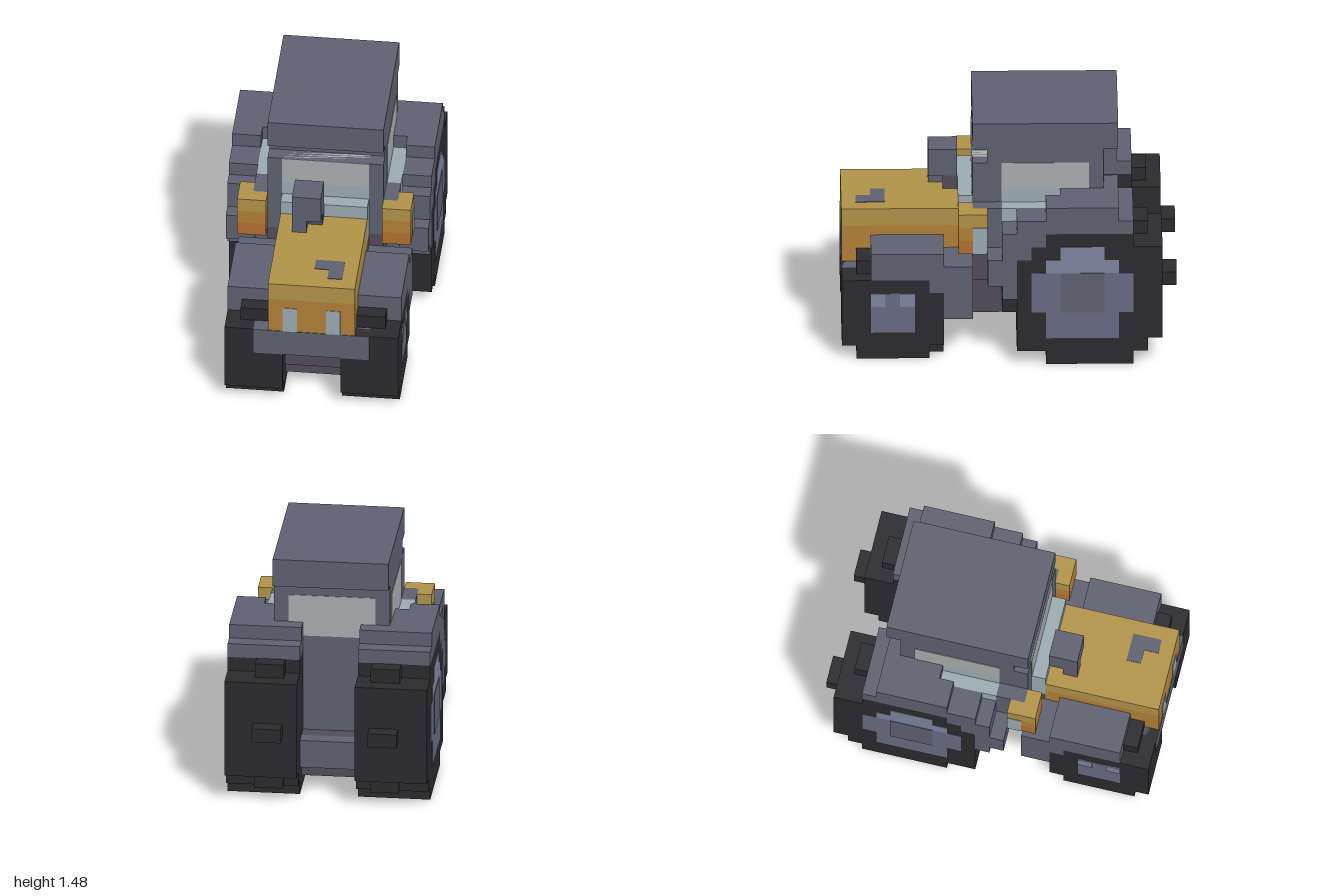
import * as THREE from 'three';

const U = 2 / 23; // edge of one block; the model is 23 blocks long
const E = 0.04;   // thickness of coloured panels, in blocks

const mats = {};
function mat(color) {
  return (mats[color] ??= new THREE.MeshStandardMaterial({ color, flatShading: true }));
}
const SLATE = 0x5e6070, DARK = 0x504d5a, TIRE = 0x2b2b2d, RIM = 0x666a80, RIM_LIGHT = 0x7c84a0;
const YELLOW = 0xb09248, ORANGE = 0xb08038, RUST = 0xb07030, GLASS = 0x9aaab2, PALE = 0xa9acac;

// Box between block coordinates: x from the middle, y from the ground, k from the front backwards
function block(parent, name, color, x0, x1, y0, y1, k0, k1) {
  const geo = new THREE.BoxGeometry((x1 - x0) * U, (y1 - y0) * U, (k1 - k0) * U);
  const mesh = new THREE.Mesh(geo, mat(color));
  mesh.name = name;
  mesh.position.set(((x0 + x1) / 2) * U, ((y0 + y1) / 2) * U, 1 - ((k0 + k1) / 2) * U);
  parent.add(mesh);
}

// The same box on both sides
function pair(parent, name, color, x0, x1, ...rest) {
  block(parent, name + 'Left', color, x0, x1, ...rest);
  block(parent, name + 'Right', color, -x1, -x0, ...rest);
}

function part(root, name) {
  const g = new THREE.Group();
  g.name = name;
  root.add(g);
  return g;
}

export function createModel() {
  const root = new THREE.Group();
  root.name = 'tractor';

  // Chassis, axles and bumper
  const chassis = part(root, 'chassis');
  block(chassis, 'frame', DARK, -3, 3, 2, 8, 7, 12);
  block(chassis, 'frontFrame', DARK, -2, 2, 2, 6, 1.5, 7);
  block(chassis, 'frontAxle', DARK, -2, 2, 1, 4, 2, 6);
  block(chassis, 'rearFrame', SLATE, -2, 2, 2, 8, 12, 18);
  block(chassis, 'rearAxle', DARK, -2, 2, 1, 4, 14, 19);
  block(chassis, 'hitch', SLATE, -2, 2, 2, 4, 19, 20);
  block(chassis, 'bumper', SLATE, -4, 4, 4, 6, -E, 1);

  // Hood with headlights and marking
  const hood = part(root, 'hood');
  block(hood, 'hoodLower', ORANGE, -3, 3, 6, 8.7, 0, 8);
  block(hood, 'hoodUpper', YELLOW, -3, 3, 8.7, 10, 0, 8);
  pair(hood, 'headlight', GLASS, 1, 2, 6, 8, -E, 0.5);
  block(hood, 'hoodMarkLong', SLATE, 0, 2, 9.5, 10 + E, 2, 3);
  block(hood, 'hoodMarkShort', SLATE, 1, 2, 9.5, 10 + E, 1, 2);

  // Exhaust
  const exhaust = part(root, 'exhaust');
  block(exhaust, 'exhaustPipe', SLATE, -2, -1, 10, 11, 6, 7);
  block(exhaust, 'exhaustElbow', DARK, -1, 0, 10, 11, 7, 8);
  block(exhaust, 'exhaustCap', SLATE, -2, 0, 11, 13, 6, 8);

  // Cab, roof and windows
  const cab = part(root, 'cab');
  block(cab, 'cabBody', SLATE, -4, 4, 8, 14, 9, 18);
  block(cab, 'cabFloor', DARK, -4, 4, 5, 8, 9, 12);
  block(cab, 'roofNeck', SLATE, -4, 4, 14, 15, 10, 18);
  block(cab, 'roof', SLATE, -4, 4, 15, 17, 9, 19);
  block(cab, 'windshield', PALE, -3, 3, 12, 14, 9 - E, 10);
  block(cab, 'windshieldLower', GLASS, -3, 3, 11, 12, 9 - E, 10);
  block(cab, 'windshieldLedge', GLASS, -3, 3, 8, 11, 8, 9);
  block(cab, 'rearWindow', PALE, -3, 3, 11, 14, 17, 18 + E);
  pair(cab, 'sideWindow', PALE, 3, 4 + E, 12, 14, 11, 17);
  pair(cab, 'sideWindowLower', GLASS, 3, 4 + E, 11, 12, 11, 15);
  pair(cab, 'sideLedge', GLASS, 4, 5, 10, 11, 11, 15);
  pair(cab, 'doorPost', SLATE, 4, 5, 8, 11, 9, 11);
  pair(cab, 'doorSill', SLATE, 4, 5, 8, 10, 11, 15);

  // Side lamps in three bands, with a pale outer pane
  const lamps = part(root, 'sideLamps');
  [[8, 9, RUST], [9, 10, ORANGE], [10, 11, YELLOW]].forEach(([y0, y1, c], i) => {
    pair(lamps, 'lampFront' + i, c, 4, 6, y0, y1, 8, 9);
    pair(lamps, 'lampBack' + i, c, 5, 6, y0, y1, 9, 10);
  });
  pair(lamps, 'lampPane', GLASS, 5.5, 6 + E, 8, 10, 9, 10);

  // Front fenders
  const frontFenders = part(root, 'frontFenders');
  pair(frontFenders, 'fenderTop', SLATE, 3, 6, 6, 8, 2, 7);
  pair(frontFenders, 'fenderCorner', SLATE, 3, 6, 5, 7, 6, 7);
  pair(frontFenders, 'fenderBack', SLATE, 3, 6, 3, 7, 7, 9);

  // Rear fenders, stepped over the wheels
  const rearFenders = part(root, 'rearFenders');
  const steps = [
    [5, 7, 6, 8, 10, 11], [2, 7, 5, 10, 11, 12], [2, 7, 8, 9, 12, 13], [2, 7, 9, 10, 12, 14],
    [5, 7, 10, 11, 12, 14], [5, 7, 10, 12, 14, 15], [4, 7, 10, 12, 15, 18],
    [2, 7, 10, 12, 18, 19], [2, 7, 10, 11, 19, 20],
  ];
  steps.forEach((s, i) => pair(rearFenders, 'fenderStep' + i, SLATE, ...s));

  // Front wheels: rounded stack of blocks, treads and a rim panel
  const frontWheels = part(root, 'frontWheels');
  pair(frontWheels, 'frontTire', TIRE, 2, 6, 1, 5, 0, 7);
  pair(frontWheels, 'frontTireShoulder', TIRE, 2, 6, 5, 6, 0, 6);
  pair(frontWheels, 'frontTireBase', TIRE, 2, 6, 0, 1, 1, 6);
  pair(frontWheels, 'frontTreadTop', TIRE, 3, 5, 6, 7, 1, 2);
  pair(frontWheels, 'frontTreadBack', TIRE, 3, 5, 0, 1, 6, 7);
  pair(frontWheels, 'frontRim', RIM, 5.5, 6 + E, 2, 5, 2, 5);
  pair(frontWheels, 'frontRimLightTop', RIM_LIGHT, 5.5, 6 + 2 * E, 4, 5, 2, 3);
  pair(frontWheels, 'frontRimLightBack', RIM_LIGHT, 5.5, 6 + 2 * E, 4, 5, 4, 5);

  // Rear wheels
  const rearWheels = part(root, 'rearWheels');
  const tireRows = [[0, 1, 14, 20], [1, 2, 12, 21], [2, 8, 12, 22], [8, 9, 13, 22], [9, 10, 14, 20]];
  tireRows.forEach((r, i) => pair(rearWheels, 'rearTireRow' + i, TIRE, 2, 7, ...r));
  const treads = [[0, 1, 13, 14], [3, 4, 11, 12], [5, 6, 22, 23], [9, 10, 20, 21], [1, 2, 21, 21.5]];
  treads.forEach((t, i) => pair(rearWheels, 'rearTread' + i, TIRE, 3, 5, ...t));
  const rimRows = [[2, 4, 14, 19], [4, 7, 13, 20], [7, 8, 14, 19], [8, 9, 15, 18]];
  rimRows.forEach((r, i) => {
    pair(rearWheels, 'rearRimRow' + i, i < 2 ? RIM : RIM_LIGHT, 6.5, 7 + E, ...r);
  });
  pair(rearWheels, 'rearHub', SLATE, 6.5, 7 + 2 * E, 4, 7, 15, 18);

  return root;
}
